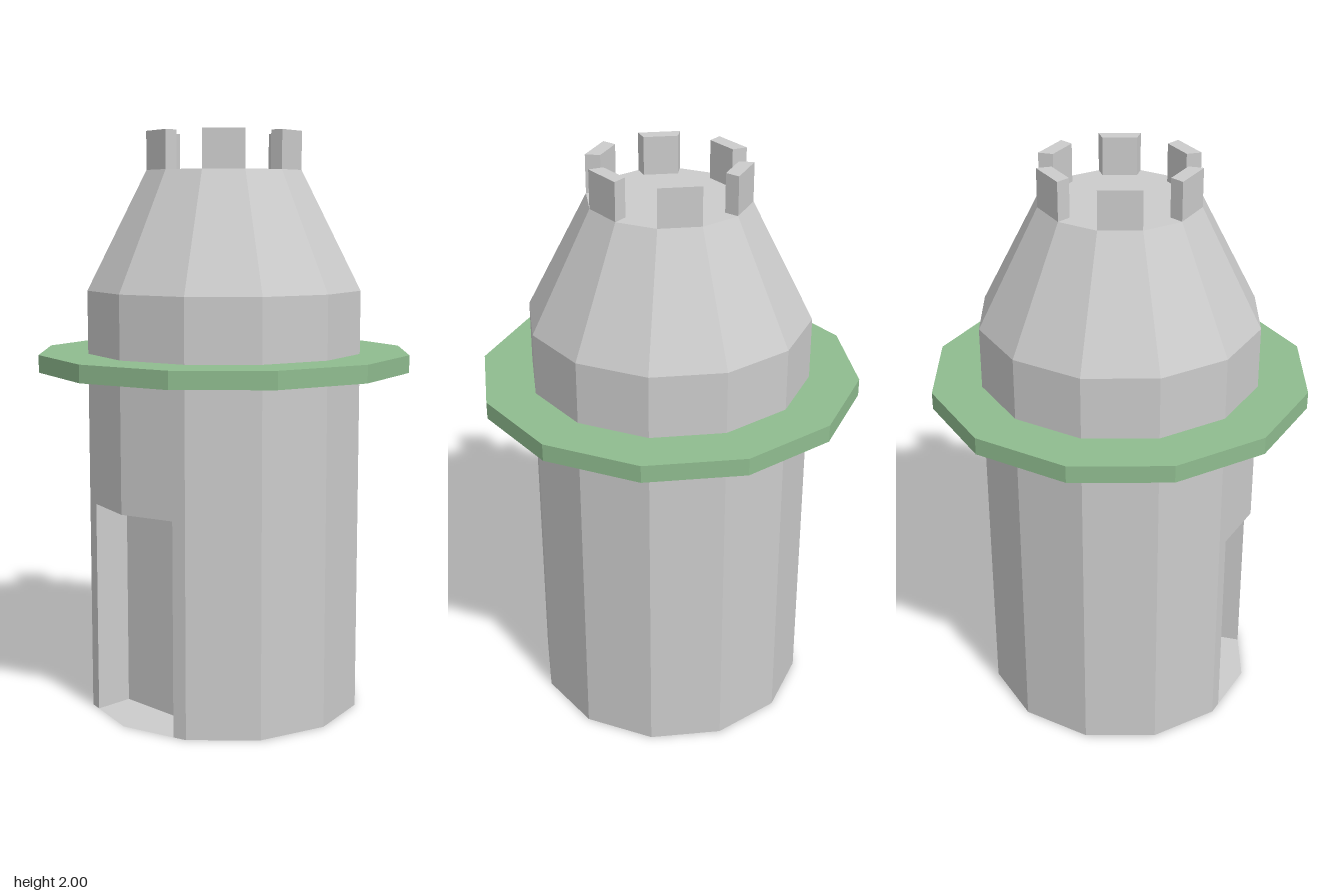
import * as THREE from 'three';

const SIDES = 12;
const R = 0.48;          // wall radius
const R_TOP = 0.272;     // platform radius
const DOOR_H = 0.735, DOOR_X = 0.193, DOOR_Z = 0.29;
const PLATFORM_Y = 1.87;

const stone = new THREE.MeshStandardMaterial({ color: 0xcccccc, flatShading: true, side: THREE.DoubleSide });
const green = new THREE.MeshStandardMaterial({ color: 0x8fbc8f, flatShading: true });

function add(parent, name, geometry, material = stone) {
  const mesh = new THREE.Mesh(geometry, material);
  mesh.name = name;
  parent.add(mesh);
  return mesh;
}

const lathe = (pts, segments = SIDES, start = 0, length = Math.PI * 2) =>
  new THREE.LatheGeometry(pts.map(p => new THREE.Vector2(...p)), segments, start, length);

// Shape drawn in plan from [x, z] pairs
const planShape = pts => new THREE.Shape(pts.map(([x, z]) => new THREE.Vector2(x, -z)));

// Upright wall following a plan path of [x, z] pairs
function wallAlong(path, y0, y1) {
  const pos = [];
  for (let i = 0; i < path.length - 1; i++) {
    const [ax, az] = path[i], [bx, bz] = path[i + 1];
    pos.push(ax, y0, az, bx, y0, bz, bx, y1, bz);
    pos.push(ax, y0, az, bx, y1, bz, ax, y1, az);
  }
  const g = new THREE.BufferGeometry();
  g.setAttribute('position', new THREE.Float32BufferAttribute(pos, 3));
  g.computeVertexNormals();
  return g;
}

export function createModel() {
  const tower = new THREE.Group();
  tower.name = 'tower';
  const step = (Math.PI * 2) / SIDES;

  // Lower wall skips the two front facets, where the doorway sits
  add(tower, 'lowerWall', lathe([[R, 0], [R, DOOR_H]], SIDES - 2, step, Math.PI * 2 - 2 * step));
  add(tower, 'upperWall', lathe([[R, DOOR_H], [R, 1.465]]));
  add(tower, 'taperedRoof', lathe([[R, 1.465], [R_TOP, PLATFORM_Y]]));
  add(tower, 'platform', lathe([[R_TOP, PLATFORM_Y], [0, PLATFORM_Y]]));

  // Recessed doorway: front strips, jambs and flat back, then sill and lintel
  const cornerX = R * Math.sin(step), cornerZ = R * Math.cos(step);
  const edgeZ = R + (cornerZ - R) * (DOOR_X / cornerX);
  const doorway = new THREE.Group();
  doorway.name = 'doorway';
  tower.add(doorway);
  add(doorway, 'doorWalls', wallAlong([
    [-cornerX, cornerZ], [-DOOR_X, edgeZ], [-DOOR_X, DOOR_Z],
    [DOOR_X, DOOR_Z], [DOOR_X, edgeZ], [cornerX, cornerZ],
  ], 0, DOOR_H));
  const floorPlan = planShape([
    [-DOOR_X, DOOR_Z], [-DOOR_X, edgeZ], [0, R], [DOOR_X, edgeZ], [DOOR_X, DOOR_Z],
  ]);
  for (const [name, y] of [['sill', 0], ['lintel', DOOR_H]]) {
    add(doorway, name, new THREE.ShapeGeometry(floorPlan).rotateX(-Math.PI / 2)).position.y = y;
  }

  // Projecting balcony ring
  add(tower, 'balconyRing', lathe([
    [0.47, 1.19], [0.65, 1.19], [0.65, 1.25], [0.47, 1.25], [0.47, 1.19],
  ]), green);

  // Battlements stand on every second facet of the platform edge
  const battlements = new THREE.Group();
  battlements.name = 'battlements';
  tower.add(battlements);
  const inner = 0.222;
  const at = (r, a) => [r * Math.sin(a), r * Math.cos(a)];
  const plan = planShape([at(inner, 0), at(R_TOP, 0), at(R_TOP, step), at(inner, step)]);
  const block = new THREE.ExtrudeGeometry(plan, { depth: 2 - PLATFORM_Y, bevelEnabled: false }).rotateX(-Math.PI / 2);
  for (let i = 0; i < SIDES / 2; i++) {
    const merlon = add(battlements, 'merlon', block);
    merlon.position.y = PLATFORM_Y;
    merlon.rotation.y = step * (2 * i + 1);
  }
  return tower;
}
